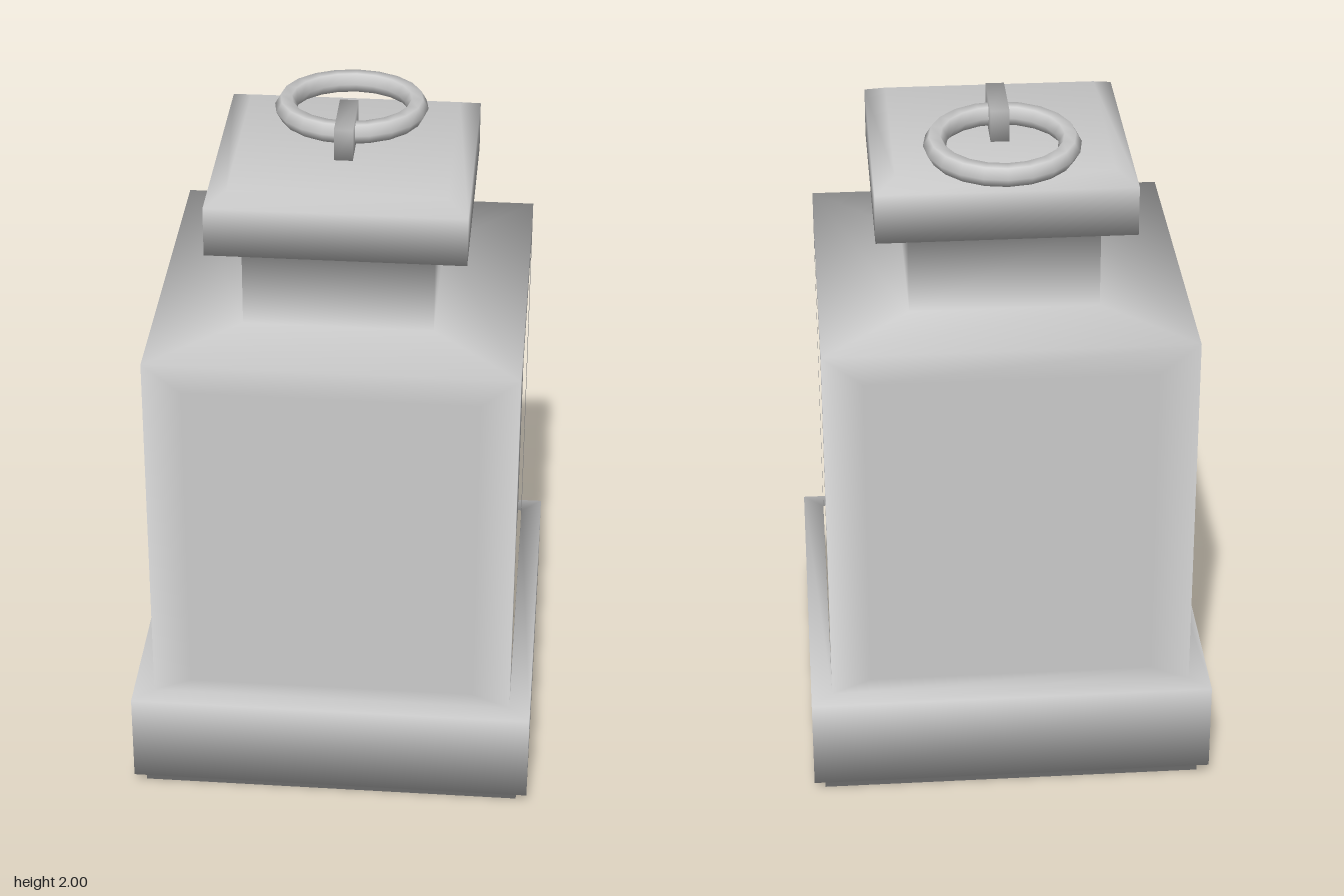
import * as THREE from 'three';
import { mergeVertices } from 'three/addons/utils/BufferGeometryUtils.js';

const material = new THREE.MeshStandardMaterial({ color: 0xcccccc });

// Square profile from the ground up: [half width, height]
const PROFILE = [
  [0.565, 0], [0.565, 0.04], [0.597, 0.04], [0.597, 0.32], [0.535, 0.32],
  [0.535, 1.46], [0.275, 1.46], [0.275, 1.728], [0.37, 1.728],
  [0.37, 1.875], [0.31, 1.905],
];
const WINDOW_SEGMENT = 4; // the tall body wall has a window on each side
const WINDOW = { half: 0.42, bottom: 0.365, top: 1.37 };

// Smooth shell: every face counts equally in the normals of its corners
function shellGeometry() {
  const points = [], normals = [], index = [];
  const add = (x, y, z) => {
    normals.push(new THREE.Vector3());
    return points.push(new THREE.Vector3(x, y, z)) - 1;
  };
  const quad = (a, b, c, d) => {
    index.push(a, b, c, a, c, d);
    const normal = new THREE.Vector3();
    new THREE.Triangle(points[a], points[b], points[c]).getNormal(normal);
    for (const i of [a, b, c, d]) normals[i].add(normal);
  };

  const rings = PROFILE.map(([s, y]) =>
    [[1, 1], [1, -1], [-1, -1], [-1, 1]].map(([x, z]) => add(x * s, y, z * s)));

  for (let i = 0; i < rings.length - 1; i++) {
    for (let k = 0; k < 4; k++) {
      const n = (k + 1) % 4;
      const outline = [rings[i][k], rings[i][n], rings[i + 1][n], rings[i + 1][k]];
      if (i !== WINDOW_SEGMENT) {
        quad(...outline);
        continue;
      }
      // Frame around the window opening
      const c = Math.cos(k * Math.PI / 2), s = Math.sin(k * Math.PI / 2);
      const { half, bottom, top } = WINDOW, d = PROFILE[i][0];
      const opening = [[-half, bottom], [half, bottom], [half, top], [-half, top]]
        .map(([u, y]) => add(c * d - s * u, y, -s * d - c * u));
      for (let j = 0; j < 4; j++) {
        const m = (j + 1) % 4;
        quad(outline[j], outline[m], opening[m], opening[j]);
      }
    }
  }
  quad(...[...rings[0]].reverse()); // underside
  quad(...rings[rings.length - 1]); // top of the cap

  const geometry = new THREE.BufferGeometry().setFromPoints(points);
  geometry.setAttribute('normal', new THREE.Float32BufferAttribute(
    normals.flatMap((v) => v.normalize().toArray()), 3));
  geometry.setIndex(index);
  return geometry;
}

// Box with normals blended over its edges
function smoothBox(w, h, d) {
  const box = new THREE.BoxGeometry(w, h, d);
  box.deleteAttribute('normal');
  box.deleteAttribute('uv');
  const merged = mergeVertices(box);
  merged.computeVertexNormals();
  return merged;
}

export function createModel() {
  const group = new THREE.Group();
  group.name = 'lantern';
  const part = (name, geometry) => {
    const mesh = new THREE.Mesh(geometry, material);
    mesh.name = name;
    group.add(mesh);
    return mesh;
  };

  part('lanternShell', shellGeometry());

  // Glass block just behind the four window openings
  part('glass', new THREE.BoxGeometry(1.046, 1.1, 1.046)).position.y = 0.88;

  // Lug on the cap that holds the ring
  part('ringLug', smoothBox(0.054, 0.1, 0.2)).position.y = 1.95;

  // Carrying ring lying back across the cap
  const ring = part('carryingRing', new THREE.TorusGeometry(0.192, 0.033, 6, 20));
  ring.position.set(0, 1.939, -0.187);
  ring.rotation.x = -Math.PI / 2 - 0.045;

  return group;
}
